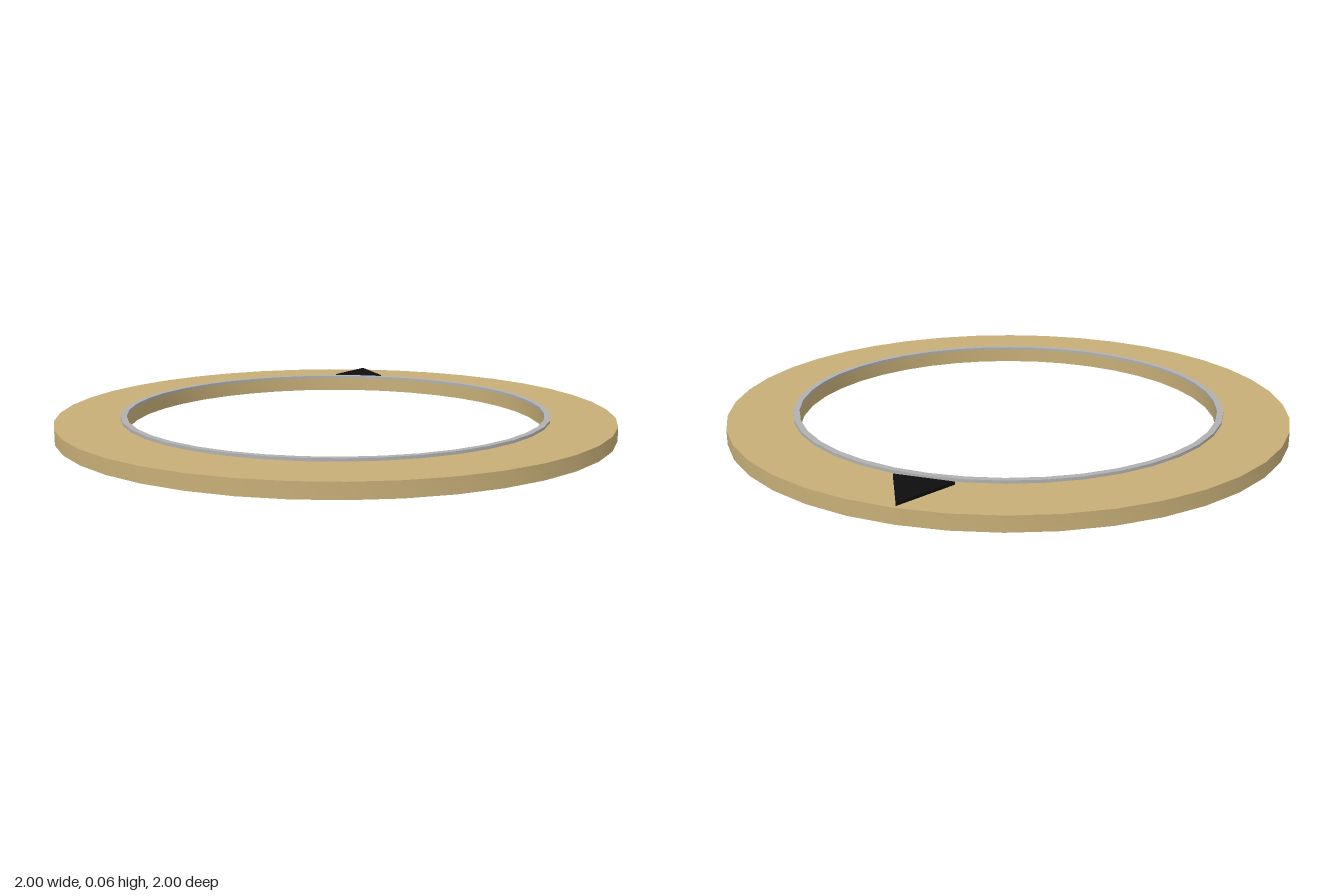
import * as THREE from 'three';
import { toCreasedNormals } from 'three/addons/utils/BufferGeometryUtils.js';

const SEGMENTS = 40;

function part(name, geometry, color) {
  const mesh = new THREE.Mesh(geometry, new THREE.MeshStandardMaterial({ color }));
  mesh.name = name;
  return mesh;
}

// Flat ring with a rectangular cross-section: smooth walls, sharp rims
function ringGeometry(inner, outer, bottom, top) {
  const profile = [
    [outer, bottom], [outer, top], [inner, top], [inner, bottom], [outer, bottom],
  ].map(([r, y]) => new THREE.Vector2(r, y));
  return toCreasedNormals(new THREE.LatheGeometry(profile, SEGMENTS), 0.6);
}

export function createModel() {
  const model = new THREE.Group();
  model.name = 'markedRing';

  // Broad ring and the thin raised trim around its opening
  model.add(part('ringBody', ringGeometry(0.75, 1, 0, 0.052), 0xc6ae77));
  model.add(part('innerTrim', ringGeometry(0.75, 0.772, 0.052, 0.062), 0xb0b0b0));

  // Triangular pointer lying on the back of the ring, pointing outward
  const triangle = new THREE.Shape([
    new THREE.Vector2(-0.1, 0.788),
    new THREE.Vector2(0.1, 0.788),
    new THREE.Vector2(0, 0.987),
  ]);
  const pointerGeometry = new THREE.ExtrudeGeometry(triangle, { depth: 0.01, bevelEnabled: false });
  pointerGeometry.rotateX(-Math.PI / 2).translate(0, 0.052, 0);
  model.add(part('pointer', pointerGeometry, 0x0d0d0d));

  return model;
}
